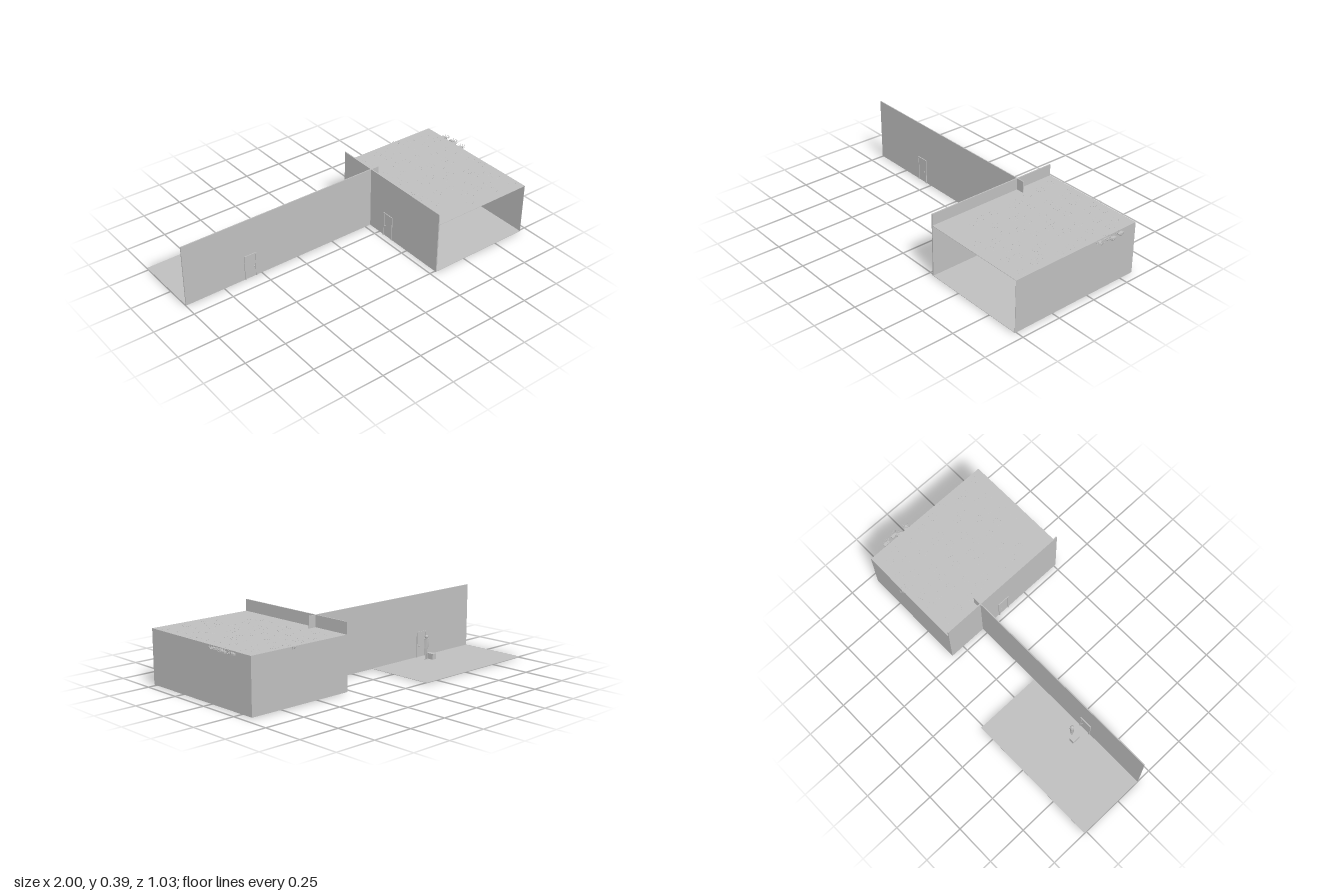
import * as THREE from 'three';
import { mergeGeometries } from 'three/addons/utils/BufferGeometryUtils.js';

export function createModel() {
  const root = new THREE.Group();
  root.name = 'roomSet';
  const grey = new THREE.MeshStandardMaterial({ color: 0xbfbfbf });
  grey.name = 'plain grey';

  const add = (name, geometry, parent = root) => {
    const mesh = new THREE.Mesh(geometry, grey);
    mesh.name = name;
    parent.add(mesh);
    return mesh;
  };
  // Box given by its extents on each axis
  const span = (x0, x1, y0, y1, z0, z1) =>
    new THREE.BoxGeometry(x1 - x0, y1 - y0, z1 - z0)
      .translate((x0 + x1) / 2, (y0 + y1) / 2, (z0 + z1) / 2);

  // Floors, walls and roof
  const T = 0.002;
  add('hallFloor', span(-1, -0.155, 0, T, -0.515, -0.09));
  add('longWall', span(-1, 0.34, 0, 0.39, -0.091, -0.085));
  add('tallSideWall', span(0.284, 0.291, 0, 0.39, -0.337, 0.512));
  add('roomFloor', span(0.288, 0.952, 0, T, -0.337, 0.512));
  add('roomRoof', span(0.288, 0.952, 0.318, 0.32, -0.337, 0.512));
  add('roomBackWall', span(0.288, 0.952, 0, 0.32, -0.337, -0.335));
  add('roomOuterWall', span(0.95, 0.952, 0, 0.32, -0.337, 0.512));

  // Framed door showing on both faces of a wall
  const addDoor = (name, x, z, turn) => {
    const door = new THREE.Group();
    door.name = name;
    door.position.set(x, 0, z);
    door.rotation.y = turn;
    for (const s of [-1, 1])
      add('doorPost', span(-0.004, 0.004, 0, 0.158, -0.008, 0.008).translate(s * 0.036, 0, 0), door);
    add('doorHead', span(-0.04, 0.04, 0.15, 0.158, -0.008, 0.008), door);
    add('doorPanel', span(-0.032, 0.032, 0.003, 0.15, -0.0045, 0.0045), door);
    for (const s of [-1, 1])
      add('doorKnob', new THREE.SphereGeometry(0.004, 8, 6).translate(0.023, 0.072, s * 0.007), door);
    root.add(door);
  };
  addDoor('hallDoor', -0.575, -0.088, 0);
  addDoor('roomDoor', 0.2875, 0.08, Math.PI / 2);

  // Low crate and a slim standing figure beside it
  add('crate', span(-0.59, -0.56, T, 0.037, -0.2, -0.15));
  const figure = new THREE.Group();
  figure.name = 'standingFigure';
  figure.position.set(-0.54, T, -0.165);
  for (const s of [-1, 1]) {
    add('leg', new THREE.CylinderGeometry(0.005, 0.004, 0.075, 8).translate(s * 0.006, 0.0375, 0), figure);
    add('arm', new THREE.CylinderGeometry(0.003, 0.003, 0.055, 8).translate(s * 0.013, 0.098, 0), figure);
  }
  add('torso', new THREE.CylinderGeometry(0.011, 0.009, 0.055, 10).translate(0, 0.1, 0), figure);
  add('head', new THREE.SphereGeometry(0.011, 10, 8).translate(0, 0.14, 0), figure);
  root.add(figure);

  // Thin square rod between two points
  const rod = (a, b, r) => {
    const dir = b.clone().sub(a);
    const q = new THREE.Quaternion().setFromUnitVectors(
      new THREE.Vector3(0, 1, 0), dir.clone().normalize());
    const mid = a.clone().add(b).multiplyScalar(0.5);
    return new THREE.BoxGeometry(r, dir.length(), r).applyQuaternion(q).translate(mid.x, mid.y, mid.z);
  };
  // Spider: boxy abdomen, head and eight bent legs
  const parts = [
    span(0.0, 0.05, 0.012, 0.034, -0.018, 0.018),
    span(-0.03, 0.0, 0.009, 0.022, -0.012, 0.012),
  ];
  for (const s of [-1, 1]) {
    for (let i = 0; i < 4; i++) {
      const a = 0.55 + i * 0.62;
      const at = (r, y) => new THREE.Vector3(-0.012 - Math.cos(a) * r, y, s * Math.sin(a) * r);
      const knee = at(0.03, 0.024);
      parts.push(rod(at(0.008, 0.014), knee, 0.004), rod(knee, at(0.048, -0.004), 0.004));
    }
  }
  const spiderGeometry = mergeGeometries(parts);

  const floorSpider = add('floorSpider', spiderGeometry);
  floorSpider.position.set(0.43, T, 0.06);

  // Smaller spiders hanging under the roof, feet just through it
  let seed = 7;
  const random = () => (seed = (seed * 16807) % 2147483647) / 2147483647;
  const hang = (x, z) => {
    const spider = add('roofSpider', spiderGeometry);
    spider.position.set(x, 0.32, z);
    spider.rotation.set(Math.PI, random() * Math.PI * 2, 0);
    spider.scale.setScalar(0.48);
  };
  for (let i = 0; i < 6; i++) {
    for (let j = 0; j < 9; j++) {
      const x = 0.39 + i * 0.1 + (random() - 0.5) * 0.06;
      const z = -0.29 + j * 0.092 + (random() - 0.5) * 0.06;
      if (x < 0.55 && z > 0.35) continue;
      hang(Math.min(x, 0.91), Math.min(z, 0.47));
    }
  }
  // A few that strayed past the walls
  for (const [x, z] of [[0.965, -0.055], [0.975, -0.135], [0.96, -0.11], [0.968, -0.2], [0.67, -0.328]])
    hang(x, z);

  return root;
}
